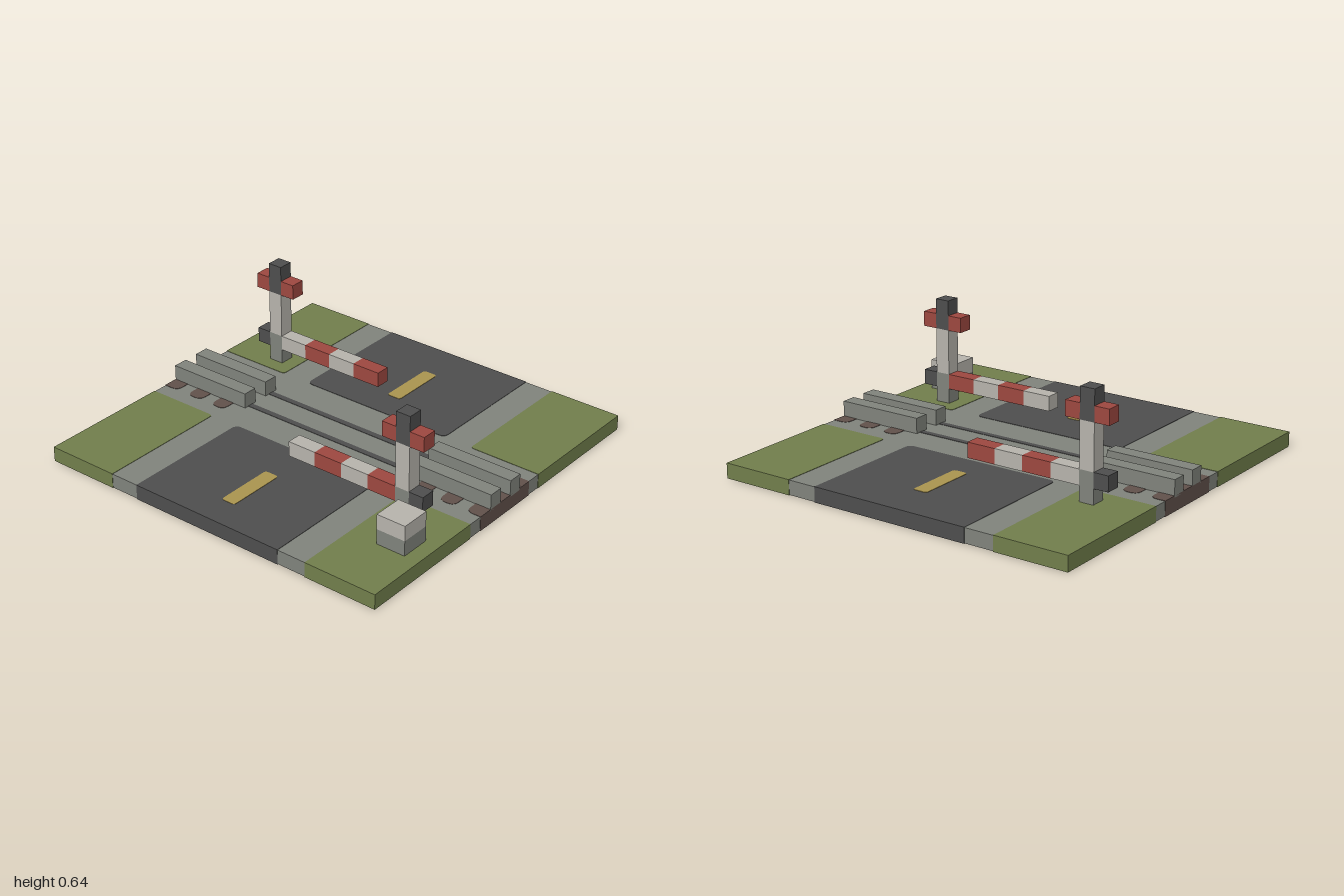
import * as THREE from 'three';

const mat = (name, color) => {
  const m = new THREE.MeshStandardMaterial({ color });
  m.name = name;
  return m;
};

export function createModel() {
  const grass = mat('grass green', 0x707d4b);
  const concrete = mat('concrete grey', 0x7f827b);
  const dark = mat('asphalt dark grey', 0x4d4d4d);
  const timber = mat('timber brown', 0x60504a);
  const yellow = mat('line yellow', 0xa9934e);
  const red = mat('signal red', 0x9c473f);
  const white = mat('off white', 0xb5b2ab);

  const model = new THREE.Group();
  model.name = 'levelCrossing';

  // box given by its minimum and maximum corners
  function box(parent, name, material, x0, x1, y0, y1, z0, z1) {
    const geo = new THREE.BoxGeometry(x1 - x0, y1 - y0, z1 - z0);
    geo.translate((x0 + x1) / 2, (y0 + y1) / 2, (z0 + z1) / 2);
    const mesh = new THREE.Mesh(geo, material);
    mesh.name = name;
    parent.add(mesh);
  }

  // ground inlay running through the slab; radii: back left, back right, front right, front left
  function inlay(name, material, x0, x1, z0, z1, [a, b, c, d], lift = 0) {
    const s = new THREE.Shape();
    s.moveTo(x0 + a, z0);
    s.lineTo(x1 - b, z0);
    if (b) s.quadraticCurveTo(x1, z0, x1, z0 + b);
    s.lineTo(x1, z1 - c);
    if (c) s.quadraticCurveTo(x1, z1, x1 - c, z1);
    s.lineTo(x0 + d, z1);
    if (d) s.quadraticCurveTo(x0, z1, x0, z1 - d);
    s.lineTo(x0, z0 + a);
    if (a) s.quadraticCurveTo(x0, z0, x0 + a, z0);
    const geo = new THREE.ExtrudeGeometry(s, { depth: 0.08 + 2 * lift, bevelEnabled: false, curveSegments: 5 });
    geo.rotateX(Math.PI / 2).translate(0, 0.08 + lift, 0);
    const mesh = new THREE.Mesh(geo, material);
    mesh.name = name;
    model.add(mesh);
  }

  // concrete slab, a hair inside the inlays
  box(model, 'groundSlab', concrete, -0.998, 0.998, 0.002, 0.078, -0.998, 0.998);

  // roads and lawns on both sides of the track
  const r = 0.035, g = 0.02;
  inlay('backRoad', dark, -0.44, 0.44, -1, -0.28, [0, 0, r, r]);
  inlay('frontRoad', dark, -0.44, 0.44, 0.28, 1, [r, r, 0, 0]);
  inlay('backRightLawn', grass, -1, -0.6, -1, -0.28, [0, 0, g, 0]);
  inlay('backLeftLawn', grass, 0.6, 1, -1, -0.28, [0, 0, 0, g]);
  inlay('frontRightLawn', grass, -1, -0.6, 0.28, 1, [0, g, 0, 0]);
  inlay('frontLeftLawn', grass, 0.6, 1, 0.28, 1, [g, 0, 0, 0]);

  // lane markings
  const q = 0.018;
  inlay('backLaneMark', yellow, -0.04, 0.04, -0.76, -0.44, [q, q, q, q], 0.002);
  inlay('frontLaneMark', yellow, -0.04, 0.04, 0.52, 0.84, [q, q, q, q], 0.002);

  // sleepers; the outermost ones are cut off by the slab edge
  const t = 0.04;
  for (const [x0, x1, cut] of [[0.6, 0.685], [0.755, 0.845], [0.915, 1, true]]) {
    const o = cut ? 0 : t;
    inlay('leftSleeper', timber, x0, x1, -0.2, 0.2, [t, o, o, t]);
    inlay('rightSleeper', timber, -x1, -x0, -0.2, 0.2, [o, t, t, o]);
  }

  // raised rails at the sides and flush rails across the road
  for (const z of [-0.08, 0.08]) {
    box(model, 'rightRail', concrete, -1, -0.52, 0.07, 0.16, z - 0.04, z + 0.04);
    box(model, 'leftRail', concrete, 0.52, 1, 0.07, 0.16, z - 0.04, z + 0.04);
    box(model, 'flushRail', dark, -0.52, 0.52, 0.076, 0.08, z - 0.016, z + 0.016);
  }

  // barrier with post, warning sign, counterweight and striped arm
  function barrier(name, stripes) {
    const b = new THREE.Group();
    b.name = name;
    box(b, 'postFoot', concrete, 0.68, 0.76, 0.08, 0.24, 0.36, 0.44);
    box(b, 'post', white, 0.68, 0.76, 0.24, 0.48, 0.36, 0.44);
    box(b, 'postHead', dark, 0.68, 0.76, 0.48, 0.64, 0.36, 0.44);
    box(b, 'signInner', red, 0.6, 0.68, 0.48, 0.56, 0.36, 0.44);
    box(b, 'signOuter', red, 0.76, 0.84, 0.48, 0.56, 0.36, 0.44);
    box(b, 'counterweight', dark, 0.76, 0.84, 0.16, 0.24, 0.36, 0.44);
    stripes.forEach((m, i) => {
      const x = 0.68 - 0.16 * i;
      box(b, 'armSegment', m, x - 0.16, x, 0.16, 0.24, 0.36, 0.44);
    });
    model.add(b);
    return b;
  }
  barrier('frontBarrier', [red, white, red, white]);
  barrier('backBarrier', [white, red, white, red]).rotation.y = Math.PI;

  // control cabinet
  box(model, 'cabinetBase', concrete, 0.76, 0.92, 0.08, 0.16, 0.52, 0.68);
  box(model, 'cabinetTop', white, 0.76, 0.92, 0.16, 0.24, 0.52, 0.68);

  return model;
}
